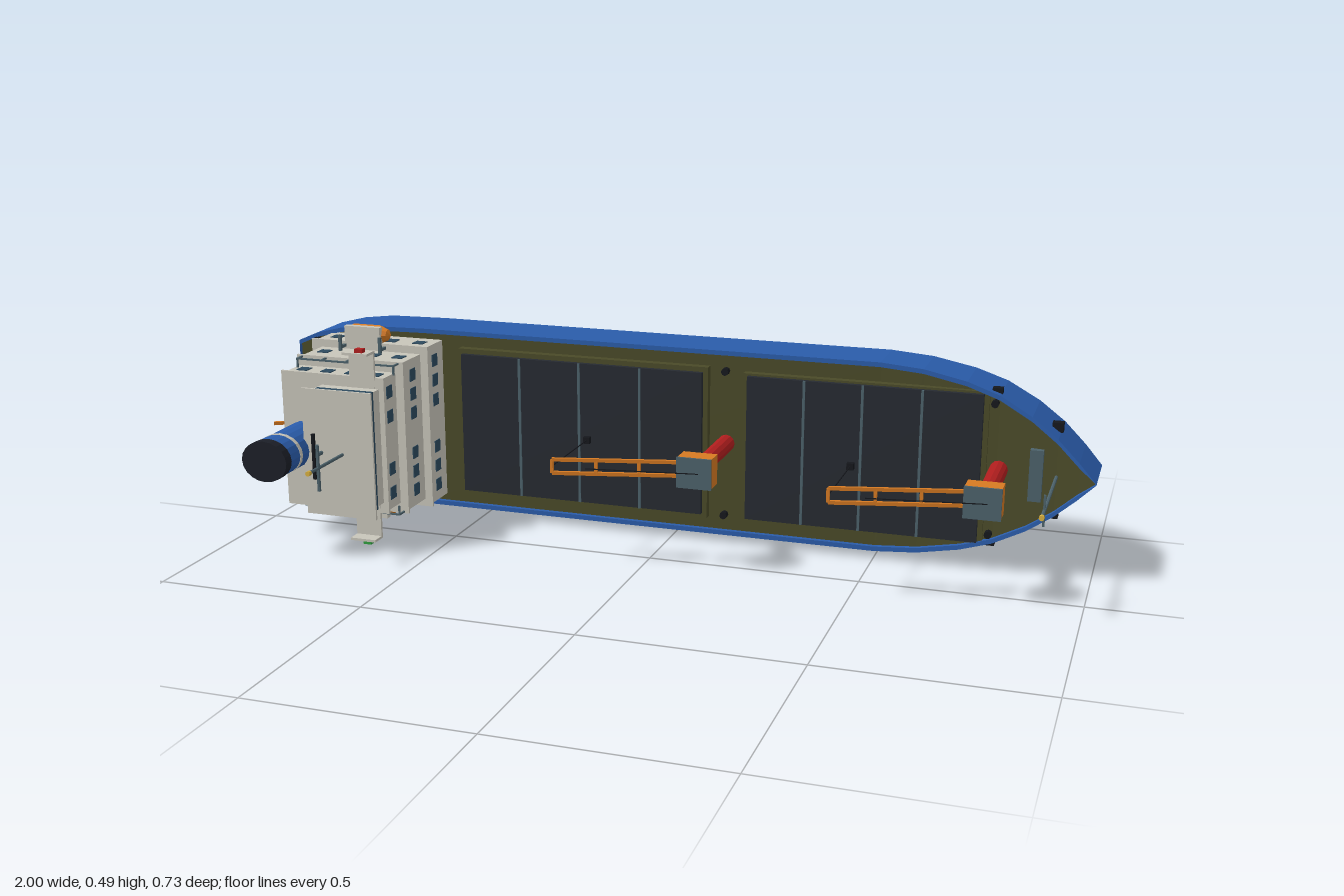
import * as THREE from 'three';

const C = { blue: 0x2a5caa, black: 0x1c1f28, olive: 0x4a4a28, hatch: 0x262a31, white: 0xc8c5ba,
  glass: 0x2d4a5e, teal: 0x4c626b, orange: 0xd67a22, red: 0xb01e1e, green: 0x2f9e3f, yellow: 0xd8b040, dark: 0x15171c };
const mats = {};
const mat = (c) => (mats[c] ??= new THREE.MeshStandardMaterial({ color: C[c], flatShading: true, side: THREE.DoubleSide }));

// Hull stations: x, half beam, waterline height, keel height
const STATIONS = [
  [-1, 0.175, -0.303, -0.325], [-0.95, 0.197, -0.303, -0.341], [-0.88, 0.215, -0.303, -0.358], [-0.8, 0.225, -0.303, -0.365],
  [-0.65, 0.228, -0.303, -0.365], [0.5, 0.228, -0.303, -0.365], [0.6, 0.22, -0.303, -0.362], [0.7, 0.2, -0.303, -0.352],
  [0.775, 0.175, -0.303, -0.34], [0.85, 0.134, -0.301, -0.323], [0.91, 0.09, -0.296, -0.306], [0.96, 0.043, -0.285, -0.29], [1, 0.001, -0.27, -0.271],
].map(([x, b, w, k]) => ({
  x, b, w, k, bi: Math.max(b - 0.011, 0), c: w + (k - w) * 0.65,
  s: x > 0.4 ? -0.165 + 0.055 * (1 - b / 0.228) : -0.167,
}));

// Skin through rows of points
function loft(rows) {
  const pos = [], n = rows[0].length, idx = [];
  rows.forEach((r) => r.forEach((p) => pos.push(...p)));
  for (let i = 0; i < rows.length - 1; i++)
    for (let j = 0; j < n - 1; j++) {
      const a = i * n + j, b = a + n;
      idx.push(a, b, a + 1, a + 1, b, b + 1);
    }
  const g = new THREE.BufferGeometry();
  g.setAttribute('position', new THREE.Float32BufferAttribute(pos, 3));
  g.setIndex(idx);
  g.computeVertexNormals();
  return g;
}

export function createModel() {
  // Inside this group y is the ship's height, x its length, z its beam
  const ship = new THREE.Group();
  ship.name = 'ship';
  const add = (name, color, geo, x = 0, y = 0, z = 0) => {
    const m = new THREE.Mesh(geo, mat(color));
    m.name = name;
    m.position.set(x, y, z);
    ship.add(m);
    return m;
  };
  // Box given by its ranges
  const box = (name, color, [x0, x1], [y0, y1], [z0, z1]) =>
    add(name, color, new THREE.BoxGeometry(x1 - x0, y1 - y0, z1 - z0), (x0 + x1) / 2, (y0 + y1) / 2, (z0 + z1) / 2);
  const cyl = (name, color, r, x, y0, y1, z = 0, seg = 16) =>
    add(name, color, new THREE.CylinderGeometry(r, r, y1 - y0, seg), x, (y0 + y1) / 2, z);
  // Square bar between two points
  const bar = (name, color, a, b, t) => {
    const p = new THREE.Vector3(...a), q = new THREE.Vector3(...b);
    const m = add(name, color, new THREE.BoxGeometry(t, t, p.distanceTo(q)));
    m.position.copy(p).lerp(q, 0.5);
    m.lookAt(q);
    return m;
  };

  // Hull: topsides with bulwark, bottom, transom and deck
  for (const e of [-1, 1])
    add('topside', 'blue', loft(STATIONS.map(({ x, b, bi, s, w }) =>
      [[x, w, e * b], [x, s, e * b], [x, s, e * bi], [x, s - 0.018, e * bi]])));
  const bottomRow = ({ x, b, w, c, k }) => [[x, w, -b], [x, c, -b * 0.95], [x, k, -b * 0.72],
    [x, k, b * 0.72], [x, c, b * 0.95], [x, w, b]];
  add('hullBottom', 'black', loft(STATIONS.map(bottomRow)));
  add('deck', 'olive', loft(STATIONS.map(({ x, bi, s }) => [[x, s - 0.012, -bi], [x, s - 0.012, bi]])));
  const t = STATIONS[0];
  const row = (y, b) => [[t.x, y, -b], [t.x, y, b]];
  add('transom', 'blue', loft([row(t.s, t.b), row(t.w, t.b)]));
  add('lowerTransom', 'black', loft([row(t.w, t.b), row(t.c, t.b * 0.95), row(t.k, t.b * 0.72)]));

  // Cargo hatches with panel seams
  for (const [x0, x1] of [[-0.54, 0.08], [0.19, 0.74]]) {
    box('hatchCoaming', 'olive', [x0 - 0.012, x1 + 0.012], [-0.19, -0.158], x0 > 0 ? [-0.18, 0.18] : [-0.187, 0.187]);
    box('hatchCover', 'hatch', [x0, x1], [-0.165, -0.146], [-0.175, 0.175]);
    for (let i = 1; i < 4; i++) {
      const x = x0 + ((x1 - x0) * i) / 4;
      box('hatchSeam', 'teal', [x - 0.003, x + 0.003], [-0.15, -0.143], [-0.175, 0.175]);
    }
  }

  // Accommodation tiers: x range, height range, half width, window height, window offsets across the front
  const tiers = [
    [[-0.905, -0.605], [-0.18, -0.08], 0.2, -0.13, [0.06, 0.11, 0.16]],
    [[-0.885, -0.617], [-0.08, 0.03], 0.185, -0.03, [0.05, 0.0975, 0.145]],
    [[-0.885, -0.63], [0.03, 0.108], 0.163, 0.07, [0.065, 0.125]],
  ];
  for (const [xr, yr, h, wy, offs] of tiers) {
    box('accommodationTier', 'white', xr, yr, [-h, h]);
    box('tierDeck', 'white', [xr[0] - 0.008, xr[1] + 0.008], [yr[1] - 0.003, yr[1] + 0.003], [-h - 0.004, h + 0.004]);
    const wr = [wy - 0.014, wy + 0.014];
    for (const e of [-1, 1]) {
      for (const o of offs)
        box('window', 'glass', [xr[0] - 0.002, xr[1] + 0.002], wr, [e * o - 0.015, e * o + 0.015]);
      for (let i = 0; i < 4; i++) {
        const x = xr[0] + ((xr[1] - xr[0]) * (i + 0.5)) / 4;
        box('sideWindow', 'glass', [x - 0.014, x + 0.014], wr, [e * h - 0.002, e * h + 0.002]);
      }
    }
  }

  // Bridge with window band, roof and wings
  box('bridge', 'white', [-0.785, -0.635], [0.105, 0.197], [-0.14, 0.14]);
  box('bridgeWindows', 'glass', [-0.775, -0.63], [0.15, 0.18], [-0.144, 0.144]);
  box('bridgeRoof', 'white', [-0.79, -0.61], [0.195, 0.201], [-0.153, 0.153]);
  box('bridgeWings', 'white', [-0.71, -0.645], [0.105, 0.112], [-0.23, 0.23]);
  for (const e of [-1, 1]) {
    box('wingScreen', 'white', [-0.71, -0.645], [0.105, 0.145], [e * 0.228 - 0.003, e * 0.228 + 0.003]);
    box('sideLight', e < 0 ? 'red' : 'green', [-0.68, -0.66], [0.122, 0.138], [e * 0.235 - 0.005, e * 0.235 + 0.005]);
    // Walkway rails beside the third tier
    box('rail', 'teal', [-0.88, -0.62], [0.056, 0.06], [e * 0.185 - 0.002, e * 0.185 + 0.002]);
    for (let i = 0; i < 5; i++) {
      const x = -0.878 + i * 0.064;
      bar('railPost', 'teal', [x, 0.03, e * 0.185], [x, 0.06, e * 0.185], 0.004);
      if (i % 4 === 0) bar('railEnd', 'teal', [x, 0.058, e * 0.163], [x, 0.058, e * 0.185], 0.004);
    }
    // Lifeboat under its davits
    const boat = new THREE.LatheGeometry([[0, -0.064], [0.014, -0.056], [0.023, -0.035], [0.023, 0.035], [0.014, 0.056], [0, 0.064]]
      .map((p) => new THREE.Vector2(...p)), 8);
    add('lifeboat', 'orange', boat.rotateZ(Math.PI / 2), -0.766, -0.094, e * 0.223);
    box('lifeboatCanopy', 'white', [-0.815, -0.72], [-0.083, -0.067], [e * 0.223 - 0.022, e * 0.223 + 0.022]);
    for (const x of [-0.82, -0.712]) {
      bar('davitPost', 'teal', [x, -0.08, e * 0.194], [x, -0.05, e * 0.194], 0.007);
      bar('davitArm', 'teal', [x, -0.052, e * 0.16], [x, -0.052, e * 0.225], 0.007);
    }
  }

  // Oval funnel
  for (const [name, color, r, y0, y1] of [['funnel', 'blue', 0.056, 0.1, 0.287],
    ['funnelBand', 'white', 0.057, 0.232, 0.243], ['funnelTop', 'black', 0.058, 0.286, 0.311]])
    cyl(name, color, r, -0.833, y0, y1, 0, 20).scale.z = 0.84;

  // Masts with yards and lights
  cyl('mainMast', 'teal', 0.004, -0.69, 0.2, 0.355, 0, 8);
  bar('mainYard', 'teal', [-0.69, 0.316, -0.055], [-0.69, 0.316, 0.055], 0.006);
  cyl('radarMast', 'teal', 0.005, -0.745, 0.2, 0.236, 0, 8);
  bar('radarScanner', 'dark', [-0.745, 0.236, -0.055], [-0.745, 0.236, 0.055], 0.007);
  cyl('foremast', 'teal', 0.004, 0.91, -0.155, 0.155, 0, 8);
  bar('foremastYard', 'teal', [0.91, 0.11, -0.035], [0.91, 0.11, 0.035], 0.005);
  for (const [x, y] of [[-0.69, 0.36], [0.91, 0.158]]) cyl('mastLight', 'yellow', 0.006, x, y - 0.005, y + 0.005, 0, 8);

  // Deck cranes: post x, head base height
  for (const [x, y] of [[0.133, 0.035], [0.78, 0.05]]) {
    cyl('cranePost', 'red', 0.021, x, -0.18, y, 0, 12);
    box('craneHead', 'orange', [x - 0.04, x + 0.04], [y, y + 0.05], [-0.035, 0.035]);
    box('craneHeadRoof', 'teal', [x - 0.041, x + 0.041], [y + 0.049, y + 0.054], [-0.036, 0.036]);
    const tip = [x - 0.325, y + 0.097];
    const root = [x - 0.035, y + 0.025];
    for (const e of [-1, 1]) bar('jibBeam', 'orange', [...root, e * 0.016], [...tip, e * 0.016], 0.008);
    for (const f of [0.33, 0.66, 1]) {
      const p = root.map((v, i) => v + (tip[i] - v) * f);
      bar('jibBrace', 'orange', [...p, -0.016], [...p, 0.016], 0.007);
    }
    bar('stayCable', 'dark', [x - 0.245, y + 0.093, 0], [x + 0.03, y + 0.05, 0], 0.002);
    bar('hoistCable', 'dark', [...tip, 0], [tip[0], y - 0.13, 0], 0.002);
    box('hookBlock', 'dark', [tip[0] - 0.008, tip[0] + 0.008], [y - 0.14, y - 0.126], [-0.008, 0.008]);
  }

  // Stern crane and mooring winches
  bar('sternCranePost', 'orange', [-0.922, -0.18, 0], [-0.922, -0.005, 0], 0.013);
  bar('sternCraneJib', 'orange', [-0.918, -0.035, 0], [-0.985, 0.006, 0], 0.008);
  for (const z of [-0.095, 0.09]) {
    add('winchDrum', 'red', new THREE.CylinderGeometry(0.021, 0.021, 0.06, 10).rotateX(Math.PI / 2), -0.944, -0.16, z);
    for (const e of [-1, 1])
      add('winchFlange', 'red', new THREE.CylinderGeometry(0.025, 0.025, 0.006, 10).rotateX(Math.PI / 2), -0.944, -0.16, z + e * 0.029);
  }
  box('windlass', 'teal', [0.85, 0.88], [-0.155, -0.135], [-0.06, 0.06]);

  // Bollards, fairleads and anchors
  for (const e of [-1, 1]) {
    for (const [x, z, y] of [[-0.95, 0.178, -0.17], [0.132, 0.178, -0.17], [0.765, 0.155, -0.158]])
      cyl('bollard', 'dark', 0.009, x, y - 0.012, y + 0.01, e * z, 8);
    box('fairlead', 'dark', [0.755, 0.778], [-0.192, -0.172], [e * 0.178 - 0.009, e * 0.178 + 0.009]);
    box('anchor', 'dark', [0.89, 0.915], [-0.212, -0.19], [e * 0.102 - 0.011, e * 0.102 + 0.011]);
  }

  // Lay the ship over so its deck faces +z
  ship.rotation.x = Math.PI / 2;
  ship.position.y = 0.255;
  const model = new THREE.Group();
  model.name = 'cargoShip';
  model.add(ship);
  return model;
}
